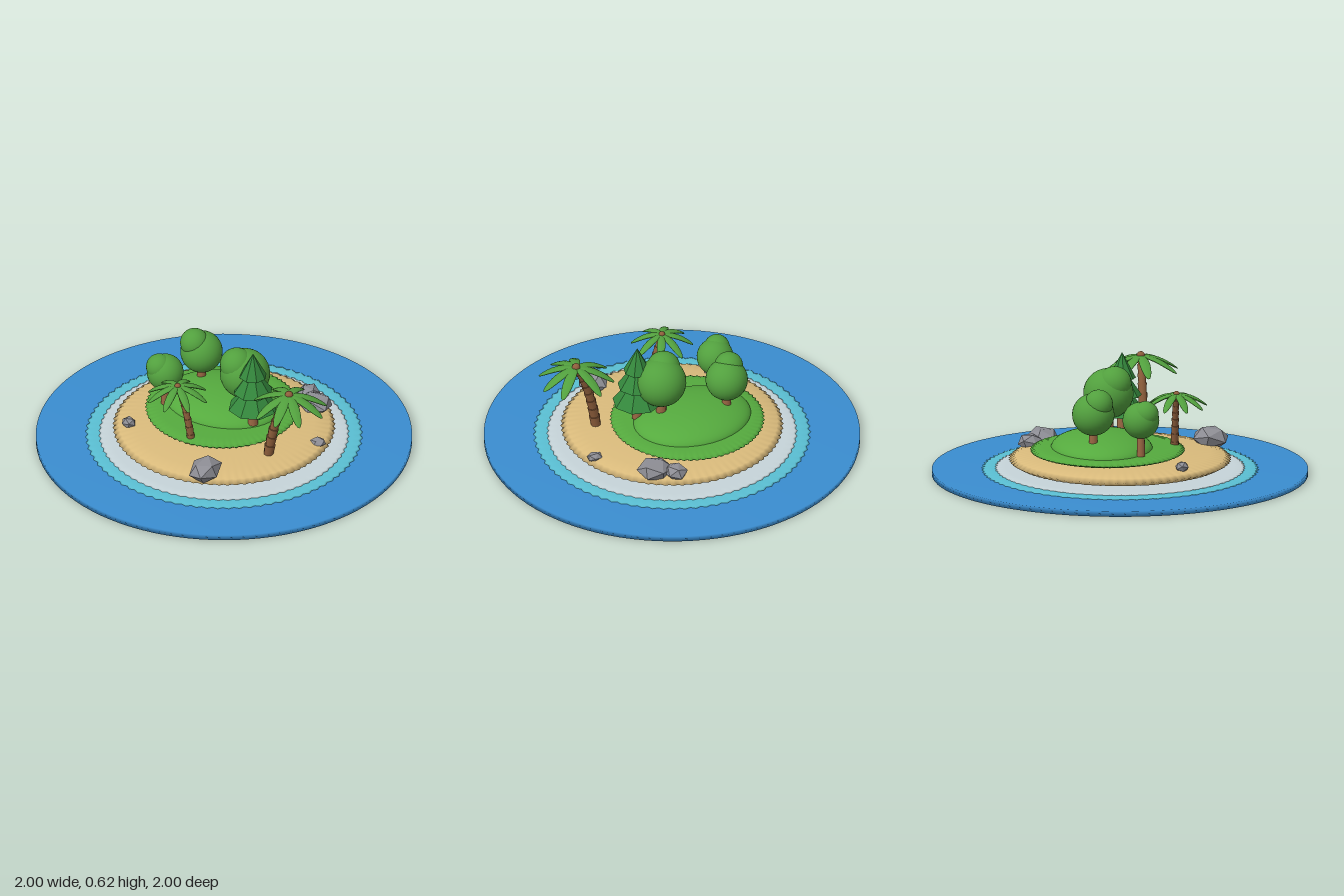
import * as THREE from 'three';
import { mergeVertices } from 'three/addons/utils/BufferGeometryUtils.js';

const paint = (name, color, flatShading = false) => {
  const m = new THREE.MeshStandardMaterial({ color, flatShading });
  m.name = name;
  return m;
};

export function createModel() {
  const sea = paint('sea blue', 0x3a8dd0);
  const shallow = paint('shallow turquoise', 0x5abfd3);
  const foam = paint('foam white', 0xc6d4d9);
  const sand = paint('sand', 0xdabb7c);
  const grass = paint('grass green', 0x55aa3e);
  const foliage = paint('foliage green', 0x52a03e);
  const pine = paint('pine green', 0x34873c, true);
  const bark = paint('bark', 0x9c6844);
  const palmBark = paint('palm bark', 0x8f5f3c);
  const stone = paint('stone grey', 0x8d8d94, true);

  const island = new THREE.Group();
  island.name = 'island';
  const group = (name, x = 0, y = 0, z = 0, parent = island) => {
    const g = new THREE.Group();
    g.name = name;
    g.position.set(x, y, z);
    parent.add(g);
    return g;
  };
  const add = (parent, name, geo, mat, x = 0, y = 0, z = 0) => {
    const m = new THREE.Mesh(geo, mat);
    m.name = name;
    m.position.set(x, y, z);
    parent.add(m);
    return m;
  };
  const profile = (pts) => pts.map(([r, y]) => new THREE.Vector2(r, y));

  // Round terrace whose rim is rippled into many small lobes
  const terrace = (pts, lobes, depth) => {
    const rim = Math.max(...pts.map((p) => p[0]));
    const geo = new THREE.LatheGeometry(profile(pts), lobes * 4);
    const pos = geo.attributes.position;
    for (let i = 0; i < pos.count; i++) {
      const x = pos.getX(i), z = pos.getZ(i), r = Math.hypot(x, z);
      const k = 1 + (depth / rim) * (r / rim) ** 4 * Math.cos(lobes * Math.atan2(x, z));
      pos.setXYZ(i, x * k, pos.getY(i), z * k);
    }
    geo.deleteAttribute('uv');
    geo.deleteAttribute('normal');
    const merged = mergeVertices(geo, 1e-5);
    merged.computeVertexNormals();
    return merged;
  };

  // Water and ground layers
  add(island, 'sea', new THREE.LatheGeometry(profile([[0, 0], [1, 0], [1, 0.03], [0, 0.03]]), 96), sea);
  add(island, 'shallowWater', terrace(
    [[0.6, 0.02], [0.72, 0.024], [0.735, 0.029], [0.72, 0.033], [0.68, 0.037], [0, 0.038]], 80, 0.007), shallow);
  add(island, 'foamRing', terrace(
    [[0.6, 0.025], [0.65, 0.032], [0.665, 0.036], [0.65, 0.04], [0.61, 0.043], [0, 0.044]], 80, 0.005), foam);
  add(island, 'beach', terrace(
    [[0, 0.04], [0.45, 0.045], [0.55, 0.063], [0.588, 0.085], [0.56, 0.104], [0.48, 0.119], [0.3, 0.128], [0, 0.13]],
    80, 0.005), sand);
  add(island, 'lawn', terrace(
    [[0, 0.122], [0.36, 0.13], [0.4, 0.142], [0.408, 0.15], [0.39, 0.16], [0.34, 0.168], [0, 0.17]],
    72, 0.005), grass, -0.05, 0, -0.073);
  add(island, 'hill', new THREE.SphereGeometry(1, 48, 16, 0, Math.PI * 2, 0, Math.PI / 2), grass, -0.06, 0.16, -0.105)
    .scale.set(0.33, 0.093, 0.27);

  // Round trees: trunk, main crown and a smaller crown on top
  const roundTree = (x, z, crownY, r, topR, topY, trunkR) => {
    const t = group('roundTree', x, 0, z);
    const h = crownY - 0.17;
    add(t, 'trunk', new THREE.CylinderGeometry(trunkR * 0.85, trunkR, h, 12), bark, 0, 0.17 + h / 2, 0);
    add(t, 'crown', new THREE.SphereGeometry(r, 28, 20), foliage, 0, crownY, 0);
    add(t, 'topCrown', new THREE.SphereGeometry(topR, 24, 16), foliage, -r * 0.25, topY, r * 0.22);
  };
  roundTree(-0.235, -0.172, 0.385, 0.113, 0.077, 0.447, 0.025);
  roundTree(-0.318, 0.073, 0.365, 0.098, 0.07, 0.403, 0.022);
  roundTree(0.1, -0.05, 0.42, 0.134, 0.09, 0.482, 0.029);

  // Pine tree: three stacked cones
  const pineTree = group('pineTree', 0.197, 0, 0.035);
  add(pineTree, 'trunk', new THREE.CylinderGeometry(0.024, 0.028, 0.14, 10), bark, 0, 0.25, 0);
  for (const [r, y0, y1] of [[0.134, 0.285, 0.46], [0.106, 0.385, 0.54], [0.074, 0.48, 0.62]]) {
    add(pineTree, 'tier', new THREE.ConeGeometry(r, y1 - y0, 8), pine, 0, (y0 + y1) / 2, 0);
  }

  // Palm frond along +x, tapering and drooping towards the tip
  const frond = (len, width, drop) => {
    const geo = new THREE.SphereGeometry(1, 14, 10);
    geo.rotateZ(-Math.PI / 2);
    const pos = geo.attributes.position;
    for (let i = 0; i < pos.count; i++) {
      const t = (pos.getX(i) + 1) / 2;
      pos.setXYZ(i, t * len, pos.getY(i) * 0.01 + 0.012 * Math.sin(Math.PI * t) - drop * t ** 1.25,
        pos.getZ(i) * width / 2);
    }
    geo.computeVertexNormals();
    return geo;
  };

  // Palm: tapered ring segments along a curve, then a crown of fronds
  const palm = (base, bend, top, segments, r, len, width, drop, angles) => {
    const p = group('palmTree');
    const curve = new THREE.QuadraticBezierCurve3(
      new THREE.Vector3(...base), new THREE.Vector3(...bend), new THREE.Vector3(...top));
    const up = new THREE.Vector3(0, 1, 0);
    for (let i = 0; i < segments; i++) {
      const a = curve.getPoint(i / segments), b = curve.getPoint((i + 1) / segments);
      const k = r * (1 - 0.35 * i / segments);
      const dir = b.clone().sub(a);
      const s = add(p, 'trunkSegment', new THREE.CylinderGeometry(k, k * 0.84, dir.length() * 1.12, 10), palmBark);
      s.position.copy(a).add(b).multiplyScalar(0.5);
      s.quaternion.setFromUnitVectors(up, dir.normalize());
    }
    const crown = group('palmCrown', ...top, p);
    add(crown, 'crownHeart', new THREE.SphereGeometry(r * 0.75, 12, 8), palmBark, 0, 0.004, 0);
    const geo = frond(len, width, drop);
    for (const deg of angles) {
      add(crown, 'frond', geo, foliage).rotation.y = -THREE.MathUtils.degToRad(deg);
    }
  };
  palm([0.37, 0.12, 0.172], [0.4, 0.36, 0.172], [0.495, 0.525, 0.172], 8, 0.03, 0.205, 0.058, 0.08,
    [0, 45, 82, 118, 175, 217, 262, 323]);
  palm([-0.035, 0.13, 0.288], [-0.06, 0.33, 0.288], [-0.12, 0.452, 0.288], 8, 0.023, 0.167, 0.046, 0.065,
    [-9, 40, 86, 130, 168, 210, 262, 305]);

  // Rocks: faceted solids, lightly dented by a fixed rule
  const rock = (x, y, z, rx, ry, rz, turn) => {
    const geo = new THREE.IcosahedronGeometry(1, 0);
    geo.rotateX(0.55);
    geo.rotateY(turn);
    const pos = geo.attributes.position;
    for (let i = 0; i < pos.count; i++) {
      const px = pos.getX(i), py = pos.getY(i), pz = pos.getZ(i);
      const k = 1.03 + 0.08 * Math.sin(px * 5 + py * 3 + pz * 7 + turn * 4);
      pos.setXYZ(i, px * k * rx, py * k * ry, pz * k * rz);
    }
    geo.computeVertexNormals();
    add(island, 'rock', geo, stone, x, y, z);
  };
  rock(0.175, 0.147, 0.505, 0.079, 0.062, 0.1, 0.3);
  rock(0.345, 0.132, -0.37, 0.1, 0.056, 0.092, 1.1);
  rock(0.262, 0.13, -0.45, 0.06, 0.045, 0.062, 2.0);
  rock(0.537, 0.11, -0.073, 0.044, 0.024, 0.038, 0.8);
  rock(-0.424, 0.13, 0.28, 0.038, 0.029, 0.035, 2.6);

  return island;
}
